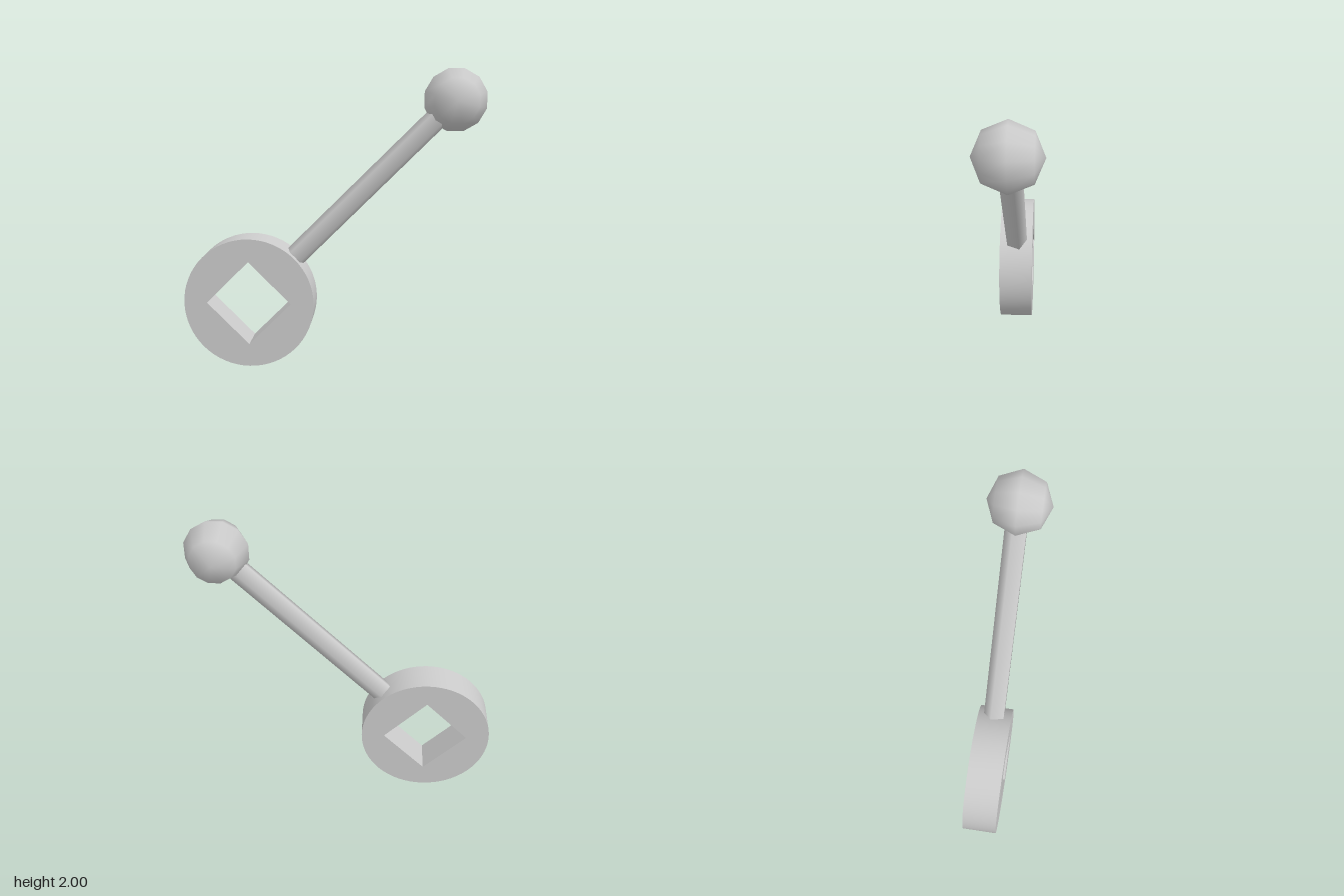
import * as THREE from 'three';
import { toCreasedNormals } from 'three/addons/utils/BufferGeometryUtils.js';

const HUB = { x: -0.56, y: 0.44, radius: 0.44, depth: 0.23, hole: 0.285 };
const KNOB = { x: 0.797, y: 1.798, radius: 0.208 };

export function createModel() {
  const model = new THREE.Group();
  const material = new THREE.MeshStandardMaterial({ color: 0xcccccc });
  const add = (name, geometry, x, y) => {
    const mesh = new THREE.Mesh(geometry, material);
    mesh.name = name;
    mesh.position.set(x, y, 0);
    model.add(mesh);
    return mesh;
  };

  // Round hub with a square socket standing on its corner
  const disc = new THREE.Shape();
  disc.absarc(0, 0, HUB.radius, 0, Math.PI * 2, false);
  const h = HUB.hole;
  disc.holes.push(new THREE.Path([[h, 0], [0, -h], [-h, 0], [0, h]].map(([x, y]) => new THREE.Vector2(x, y))));
  const hub = new THREE.ExtrudeGeometry(disc, { depth: HUB.depth, bevelEnabled: false, curveSegments: 32 });
  hub.translate(0, 0, -HUB.depth / 2);
  add('hub', toCreasedNormals(hub, 0.6), HUB.x, HUB.y);

  // Five-sided handle rod, running from inside the hub rim into the knob
  const length = Math.hypot(KNOB.x - HUB.x, KNOB.y - HUB.y);
  const start = 0.38, end = length - 0.08;
  const rod = new THREE.CylinderGeometry(0.077, 0.077, end - start, 5, 1, false, Math.PI);
  rod.translate(0, (start + end) / 2, 0);
  add('handleRod', rod, HUB.x, HUB.y).rotation.z = -Math.PI / 4;

  // Coarse ball knob with its poles facing front and back
  const ball = new THREE.SphereGeometry(KNOB.radius, 12, 4);
  ball.rotateX(Math.PI / 2).rotateZ(Math.PI / 12);
  add('knob', ball, KNOB.x, KNOB.y);

  return model;
}
